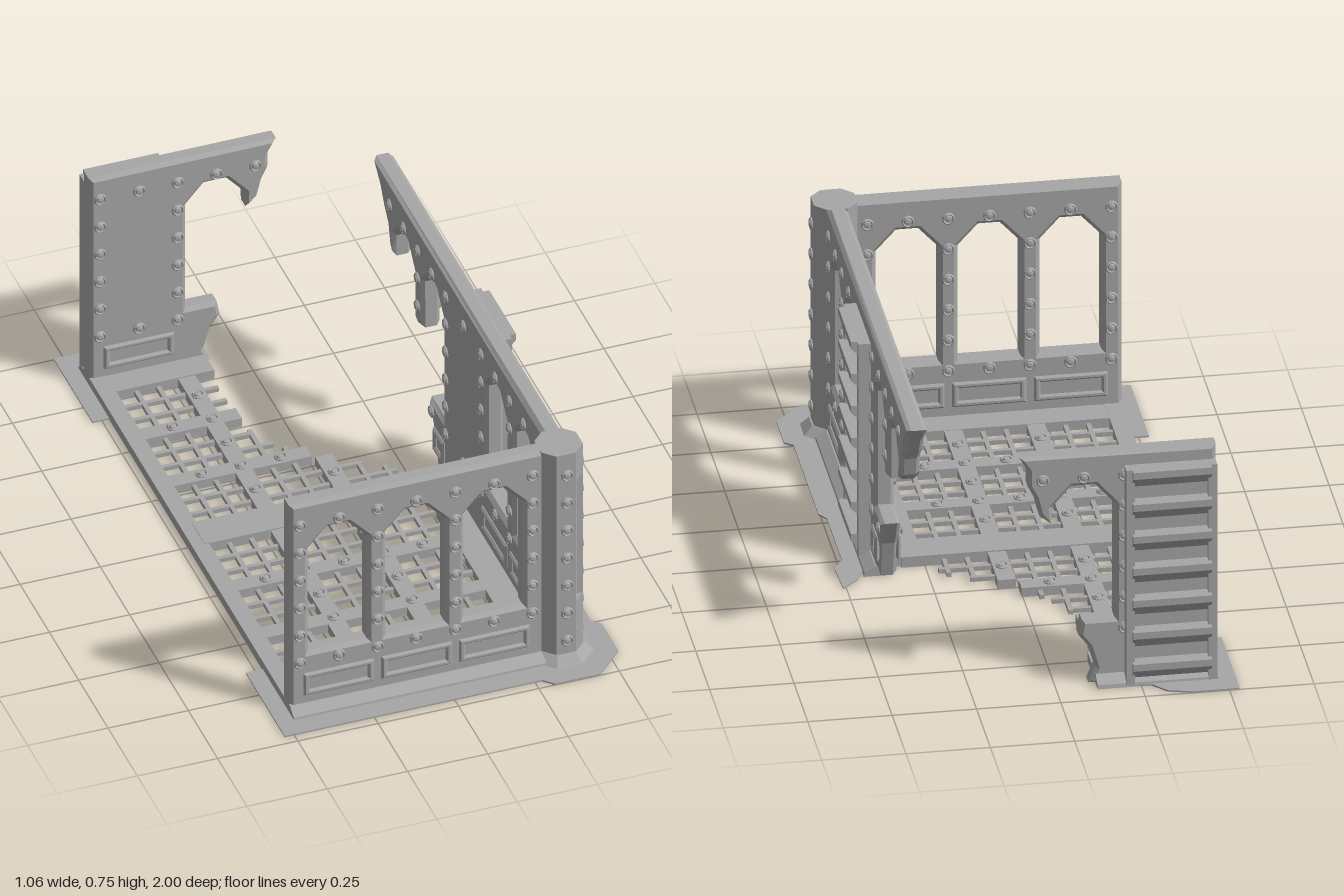
import * as THREE from 'three';

const stone = new THREE.MeshStandardMaterial({ color: 0xa6a6a6 });
stone.name = 'grey stone';
const T = 0.06; // wall thickness
const ROWS = [0.68, 0.58, 0.48, 0.38, 0.28, 0.18];

const flat = (g) => {
  const f = g.index ? g.toNonIndexed() : g;
  f.computeVertexNormals();
  return f;
};
function add(parent, name, geo, x = 0, y = 0, z = 0) {
  const m = new THREE.Mesh(geo, stone);
  m.name = name;
  m.position.set(x, y, z);
  parent.add(m);
  return m;
}
function block(parent, name, x0, x1, y0, y1, z0, z1) {
  return add(parent, name, new THREE.BoxGeometry(x1 - x0, y1 - y0, z1 - z0),
    (x0 + x1) / 2, (y0 + y1) / 2, (z0 + z1) / 2);
}
const shapeOf = (pts) => new THREE.Shape(pts.map(([x, y]) => new THREE.Vector2(x, y)));
const extrude = (shape, depth, bevel = 0) => new THREE.ExtrudeGeometry(shape, {
  depth: depth - 2 * bevel, bevelEnabled: bevel > 0, bevelSize: bevel,
  bevelThickness: bevel, bevelOffset: -bevel, bevelSegments: 1,
}).translate(0, 0, bevel);
// plan outline given as [x, z], raised along y
const plan = (pts, h) => extrude(shapeOf(pts.map(([x, z]) => [x, -z])), h).rotateX(-Math.PI / 2);
// section given as [outward, y], run along a wall from u0 to u1
const run = (pts, u0, u1) => extrude(shapeOf(pts), u1 - u0).rotateY(-Math.PI / 2).translate(u1, 0, 0);

// ringed rivet, facing +z
const rivetGeo = flat(new THREE.LatheGeometry(
  [[0.019, 0], [0.019, 0.004], [0.0155, 0.008], [0.012, 0.003], [0.0095, 0.009], [0, 0.011]]
    .map(([r, y]) => new THREE.Vector2(r, y)), 12).rotateX(Math.PI / 2));

// pointed window with a clipped top
const windowPts = (a, b) => [[a, 0.21], [b, 0.21], [b, 0.585], [b - 0.06, 0.65], [a + 0.06, 0.65], [a, 0.585]];

function panelFrame(a, b) {
  const s = shapeOf([[a, 0.06], [b, 0.06], [b, 0.14], [a, 0.14]]);
  const i = 0.019;
  s.holes.push(shapeOf([[a + i, 0.06 + i], [a + i, 0.14 - i], [b - i, 0.14 - i], [b - i, 0.06 + i]]));
  return extrude(s, 0.014, 0.006).translate(0, 0, -0.005);
}

// Wall in its own frame: u along x, outer face on z = 0, inner face on z = -T
function wall(name, outline, windows, rivets, innerRivets, panels) {
  const g = new THREE.Group();
  g.name = name;
  const s = shapeOf(outline);
  windows.forEach(([a, b]) => s.holes.push(shapeOf(windowPts(a, b))));
  add(g, 'wallSlab', extrude(s, T, 0.012), 0, 0, -T);
  rivets.forEach(([u, y]) => add(g, 'rivet', rivetGeo, u, y, 0));
  [...rivets, ...innerRivets].forEach(([u, y]) => {
    add(g, 'innerRivet', rivetGeo, u, y, -T).rotation.y = Math.PI;
  });
  panels.forEach(([a, b]) => {
    add(g, 'panelFrame', panelFrame(a, b));
    add(g, 'innerPanelFrame', panelFrame(-b, -a), 0, 0, -T).rotation.y = Math.PI;
  });
  return g;
}
const rivetGrid = (columns, between) => [
  ...columns.flatMap((u) => ROWS.map((y) => [u, y])),
  ...between.flatMap((u) => [[u, 0.68], [u, 0.18]]),
];
const plinth = (g, u0, u1) => add(g, 'plinth',
  run([[-0.01, 0], [0.038, 0], [0.035, 0.012], [0.004, 0.032], [-0.01, 0.032]], u0, u1));

// Louvred buttress between two rails
function louvres(g, u0, u1) {
  block(g, 'buttressBack', u0, u1, 0, 0.71, -0.005, 0.012);
  block(g, 'buttressRail', u0, u0 + 0.026, 0, 0.71, 0, 0.037);
  block(g, 'buttressRail', u1 - 0.026, u1, 0, 0.71, 0, 0.037);
  const geo = run([[0, 0], [0.056, 0], [0.056, -0.022], [0.014, -0.065], [0, -0.065]], u0 + 0.018, u1 - 0.018);
  for (let i = 0; i < 7; i++) add(g, 'louvre', geo, 0, 0.71 - 0.105 * i, 0);
}

// Broken edge of the floor as [x, z]
const BREAK = [[-0.135, -0.84], [-0.13, -0.6], [-0.12, -0.46], [-0.08, -0.38], [-0.01, -0.3],
  [0.06, -0.23], [0.18, -0.18], [0.22, -0.13], [0.27, -0.08], [0.33, -0.05]];
function along(v, from, to) {
  for (let i = 1; i < BREAK.length; i++) {
    const a = BREAK[i - 1], b = BREAK[i];
    if (v <= b[from]) return a[to] + (b[to] - a[to]) * Math.max(0, (v - a[from]) / (b[from] - a[from]));
  }
  return BREAK[BREAK.length - 1][to];
}

function floorGrid(g, z0, broken) {
  const z1 = z0 + 0.682, xL = -0.43, xR = 0.26;
  const endX = (z) => (broken ? Math.min(xR, along(z, 1, 0)) : xR);
  const startZ = (x) => (broken && x > -0.13 ? Math.max(z0, along(x, 0, 1)) : z0);
  for (let m = 0; m < 3; m++) {
    const cx = -0.33 + 0.245 * m, cz = z0 + 0.096 + 0.245 * m;
    // thin lattice bars
    for (const o of [-0.034, 0.034]) {
      block(g, 'latticeBar', xL, endX(cz + o), 0.006, 0.02, cz + o - 0.007, cz + o + 0.007);
      block(g, 'latticeBar', cx + o - 0.007, cx + o + 0.007, 0.006, 0.02, startZ(cx + o), z1);
    }
    // wide riveted straps
    if (m < 2) {
      const sx = cx + 0.1225, sz = cz + 0.1225;
      block(g, 'floorStrap', xL, endX(sz), 0, 0.03, sz - 0.027, sz + 0.027);
      block(g, 'floorStrap', sx - 0.027, sx + 0.027, 0, 0.03, startZ(sx), z1);
    }
  }
  for (let i = 0; i < 5; i++) for (let j = 0; j < 5; j++) {
    const x = -0.33 + 0.1225 * i, z = z0 + 0.096 + 0.1225 * j;
    if ((i % 2 || j % 2) && x < endX(z) - 0.01) add(g, 'floorRivet', rivetGeo, x, 0.029, z).rotation.x = -Math.PI / 2;
  }
}

export function createModel() {
  const root = new THREE.Group();
  root.name = 'ruinedHall';

  // front wall
  const front = wall('frontWall', [[-0.478, 0], [0.34, 0], [0.34, 0.755], [-0.478, 0.755]],
    [[-0.418, -0.235], [-0.177, 0.007], [0.065, 0.25]],
    rivetGrid([-0.447, -0.205, 0.037, 0.277], [-0.325, -0.085, 0.157]), [],
    [[-0.436, -0.217], [-0.194, 0.026], [0.048, 0.268]]);
  plinth(front, -0.478, 0.34);
  front.position.z = 0.87;

  // right-hand wall with its broken rear end
  const side = wall('sideWall', [[-0.81, 0], [0.11, 0], [0.12, 0.04], [0.14, 0.12], [0.16, 0.15], [0.19, 0.21],
    [0.064, 0.21], [0.064, 0.585], [0.124, 0.65], [0.19, 0.65], [0.25, 0.585], [0.245, 0.42], [0.275, 0.41],
    [0.31, 0.42], [0.31, 0.585], [0.367, 0.65], [0.433, 0.65], [0.492, 0.585], [0.492, 0.51], [0.525, 0.54],
    [0.54, 0.6], [0.575, 0.64], [0.605, 0.69], [0.665, 0.755], [-0.81, 0.755]],
    [[-0.716, -0.535], [-0.476, -0.294]],
    [...rivetGrid([-0.749, -0.508, 0.037], [-0.626, -0.385]), [0.157, 0.68], [0.157, 0.18],
      [0.277, 0.68], [0.277, 0.58], [0.277, 0.48], [0.397, 0.68], [0.517, 0.68]],
    rivetGrid([-0.265], [-0.115]),
    [[-0.733, -0.515], [-0.489, -0.275], [0.048, 0.135]]);
  plinth(side, -0.81, 0.11);
  louvres(side, -0.26, 0.005);
  side.rotation.y = Math.PI / 2;
  side.position.x = 0.4;

  // back wall, mostly fallen
  const back = wall('backWall', [[0.478, 0], [0.1, 0], [0.12, 0.05], [0.1, 0.12], [0.07, 0.16], [0.08, 0.21],
    [0.177, 0.21], [0.177, 0.585], [0.12, 0.65], [0.05, 0.65], [-0.007, 0.585], [-0.01, 0.53], [-0.045, 0.56],
    [-0.06, 0.62], [-0.08, 0.66], [-0.08, 0.71], [-0.105, 0.755], [0.478, 0.755]],
    [], [...rivetGrid([0.447, 0.205], [0.325]), [0.085, 0.68], [-0.037, 0.68]], [],
    [[0.217, 0.436]]);
  louvres(back, 0.205, 0.475);
  plinth(back, 0.12, 0.478);
  back.rotation.y = Math.PI;
  back.position.z = -0.895;
  root.add(front, side, back);

  // eight-sided corner column with a niche on its outer face
  const corner = new THREE.Group();
  corner.name = 'cornerColumn';
  const a = 0.065, b = 0.03;
  const ring = [[-b, a], [-a, b], [-a, -b], [-b, -a], [b, -a], [a, -b], [a, b]];
  const solid = [...ring, [b, a]];
  const niche = [...ring, [0.046, 0.031], [0.031, 0.046], [b, a]];
  add(corner, 'columnFoot', plan(solid, 0.215));
  add(corner, 'columnNiche', plan(niche, 0.435), 0, 0.215, 0);
  add(corner, 'columnHead', plan(solid, 0.105), 0, 0.65, 0);
  const k = 1 / Math.cos(Math.PI / 8);
  add(corner, 'columnPlinth', flat(new THREE.CylinderGeometry(0.07 * k, 0.1 * k, 0.032, 8)
    .rotateY(Math.PI / 8)), 0, 0.016, 0);
  [...ROWS, 0.08].forEach((y) => {
    add(corner, 'rivet', rivetGeo, 0.002, y, a);
    add(corner, 'rivet', rivetGeo, a, y, 0.002).rotation.y = Math.PI / 2;
  });
  corner.position.set(0.37, 0, 0.84);
  root.add(corner);

  // floor: borders, then two grated bays
  const floor = new THREE.Group();
  floor.name = 'floor';
  block(floor, 'leftBorder', -0.478, -0.426, 0, 0.032, -0.84, 0.82);
  block(floor, 'rightBorder', 0.256, 0.35, 0, 0.03, -0.06, 0.82);
  block(floor, 'frontBorder', -0.44, 0.35, 0, 0.031, 0.72, 0.82);
  block(floor, 'backBorder', -0.44, -0.12, 0, 0.031, -0.845, -0.753);
  block(floor, 'middleBorder', -0.44, 0.32, 0, 0.034, -0.07, 0.042);
  floorGrid(floor, 0.04, false);
  floorGrid(floor, -0.75, true);
  root.add(floor);

  // thin ground skirts
  add(root, 'frontSkirt', plan([[-0.53, 0.97], [0.27, 0.97], [0.3, 1], [0.44, 1], [0.53, 0.91], [0.53, 0.77],
    [0.505, 0.75], [0.505, 0.3], [0.485, 0.27], [0.485, 0], [0.515, -0.05], [0.51, -0.18], [0.46, -0.13],
    [0.43, -0.07], [0.37, -0.09], [0.37, 0.84], [-0.478, 0.84], [-0.478, 0.64], [-0.53, 0.64]], 0.005));
  add(root, 'backSkirt', plan([[-0.53, -1], [-0.39, -1], [-0.32, -0.98], [-0.28, -0.935], [-0.2, -0.93],
    [-0.17, -0.87], [-0.478, -0.87], [-0.478, -0.67], [-0.53, -0.67]], 0.005));
  return root;
}
